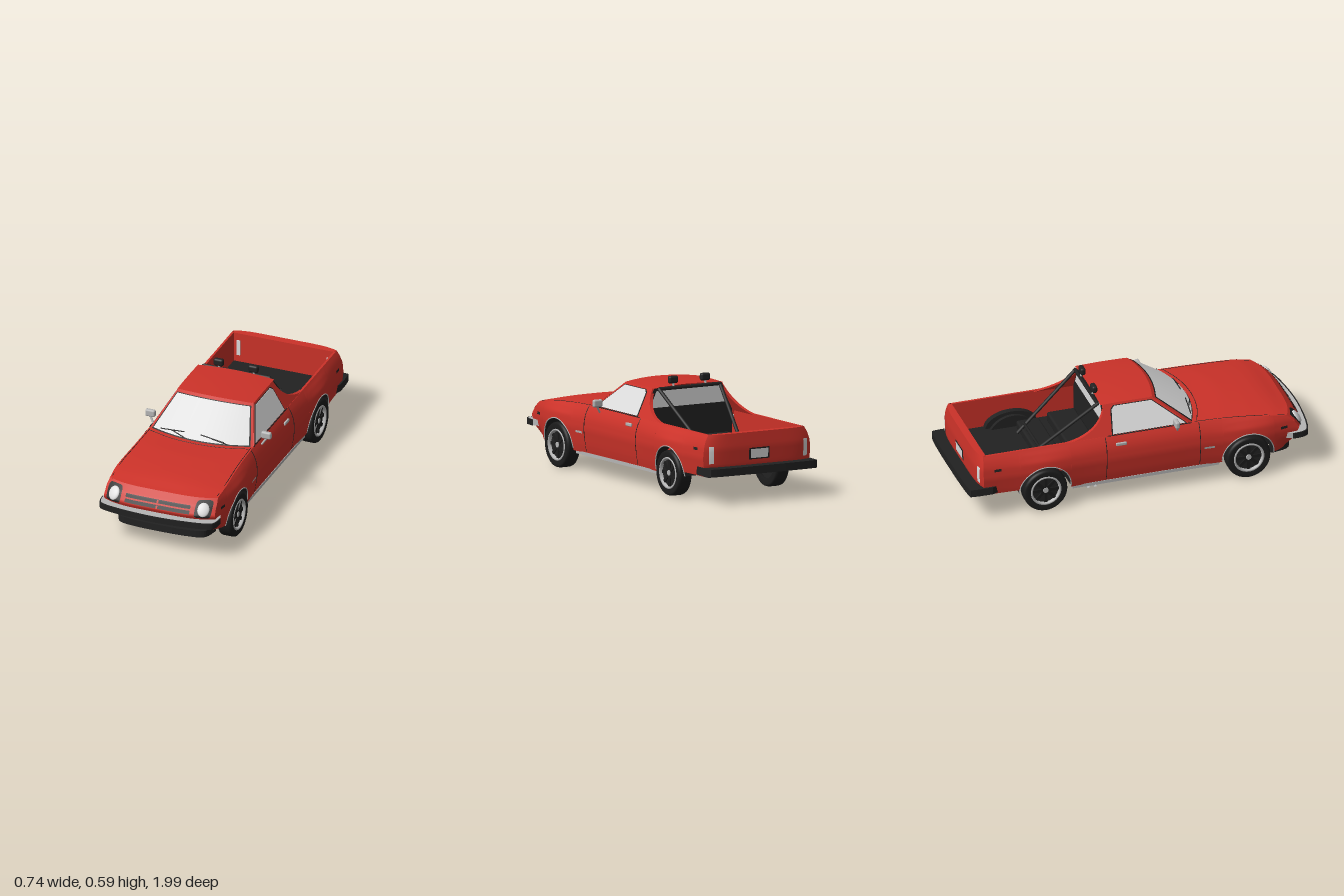
import * as THREE from 'three';
import { ParametricGeometry } from 'three/addons/geometries/ParametricGeometry.js';
import { RoundedBoxGeometry } from 'three/addons/geometries/RoundedBoxGeometry.js';

const mat = (name, color) => {
  const m = new THREE.MeshStandardMaterial({ color, side: THREE.DoubleSide });
  m.name = name;
  return m;
};
const red = mat('red paint', 0xcc3229), black = mat('black trim', 0x222222), rubber = mat('tyre rubber', 0x1c1c1c);
const glass = mat('pale glass', 0xdedede), chrome = mat('chrome', 0xb6b6b6), lampWhite = mat('lamp white', 0xdedede);

const { lerp, clamp, smoothstep } = THREE.MathUtils;
const V = (x, y, z) => new THREE.Vector3(x, y, z);
// piecewise linear lookup in a table of [input, output]
const lin = (t, v) => {
  if (v <= t[0][0]) return t[0][1];
  for (let i = 1; i < t.length; i++) {
    if (v <= t[i][0]) return lerp(t[i - 1][1], t[i][1], (v - t[i - 1][0]) / (t[i][0] - t[i - 1][0]));
  }
  return t[t.length - 1][1];
};

// Body surface rules
const AXLES = [-0.557, 0.605], WHEEL_Y = 0.126, ARCH = 0.147, BELT = 0.378, NOSE_TOP = 0.335, BED_X = 0.293;
const girth = [[0.1, 0.32], [0.16, 0.332], [0.25, 0.342], [0.31, 0.336], [0.35, 0.322], [BELT, 0.305]];
const halfWidth = (y, z) => {
  const flare = AXLES.reduce((s, c) => s + Math.exp(-(((z - c) / 0.17) ** 2)), 0);
  return lin(girth, y) + 0.016 * flare * (1 - smoothstep(y, 0.29, BELT)) - 0.016 * smoothstep(z, 0.7, 0.9)
    - 0.035 * smoothstep(z, 0.76, 0.86) * clamp((0.2 - y) / 0.07, 0, 1);
};
const shoulder = z => lin([[0.29, BELT], [0.45, 0.373], [0.6, 0.364], [0.75, 0.35], [0.83, NOSE_TOP]], z);
const noseZ = y => lin([[0.13, 0.86], [0.17, 0.9], [0.21, 0.925], [0.255, 0.945], [0.3, 0.915], [NOSE_TOP, 0.875]], y);
const tailZ = y => lin([[0.15, -0.91], [0.2, -0.934], [0.3, -0.938], [BELT, -0.93]], y);
const nose = (x, y, off = 0) => {
  const u = x / halfWidth(y, noseZ(y) - 0.045);
  return V(x, y, noseZ(y) - 0.045 * u ** 4 + off);
};
const tail = (x, y, off = 0) => {
  const u = x / halfWidth(y, tailZ(y) + 0.025);
  return V(x, y, tailZ(y) + 0.025 * u ** 6 - off);
};
const cabWidth = y => lerp(0.305, 0.222, (y - 0.375) / 0.157);
const screen = (u, v, off = 0) => {
  const w = 1 - u * u;
  return V(u * lerp(0.305, 0.222, v), lerp(BELT - 0.004 + 0.004 * w, 0.532 + 0.012 * w, v) + off, lerp(0.36 - 0.07 * u * u, 0.12 - 0.03 * u * u, v) + off);
};
const hood = (u, v, off = 0) => {
  const ze = lerp(0.83, 0.29, v), y = shoulder(ze);
  const crown = 0.011 * smoothstep(v, 0, 0.3) - 0.007 * smoothstep(v, 0.6, 1);
  return V(u * halfWidth(y, ze), y + crown * (1 - u * u) + off, lerp(0.875 - 0.045 * u ** 4, 0.36 - 0.07 * u * u, v));
};

export function createModel() {
  const car = new THREE.Group();
  car.name = 'pickup';
  const add = (name, geo, m, parent = car) => {
    const mesh = new THREE.Mesh(geo, m);
    mesh.name = name;
    parent.add(mesh);
    return mesh;
  };
  const patch = (name, f, nu, nv, m) => {
    const g = new ParametricGeometry((u, v, t) => t.copy(f(u, v)), nu, nv);
    g.computeVertexNormals();
    return add(name, g, m);
  };
  const plate = (name, f, x0, x1, y0, y1, m, off = 0.003) =>
    patch(name, (u, v) => f(lerp(x0, x1, u), lerp(y0, y1, v), off), 12, 6, m);
  const box = (name, w, h, d, x, y, z, m, r = 0) => {
    const mesh = add(name, r ? new RoundedBoxGeometry(w, h, d, 3, r) : new THREE.BoxGeometry(w, h, d), m);
    mesh.position.set(x, y, z);
    return mesh;
  };
  const tube = (name, pts, r, m, n = 24) =>
    add(name, new THREE.TubeGeometry(pts.length > 2 ? new THREE.CatmullRomCurve3(pts) : new THREE.LineCurve3(...pts), n, r, 8), m);
  // curved bar in plan, given the right half of its outer edge
  const band = (name, half, inset, y0, y1, m) => {
    const pts = [...half.slice(1).reverse().map(([x, z]) => [-x, z]), ...half];
    const s = new THREE.SplineCurve(pts.map(p => new THREE.Vector2(...p))).getPoints(40);
    const dir = Math.sign(half[0][1]);
    const inner = s.map(p => new THREE.Vector2(p.x * (1 - inset * 1.2), p.y - dir * inset)).reverse();
    const g = new THREE.ExtrudeGeometry(new THREE.Shape([...s, ...inner]), { depth: y1 - y0, bevelEnabled: false });
    g.rotateX(Math.PI / 2).translate(0, y1, 0);
    add(name, g, m);
  };

  // Side panels: columns along z whose lower edge follows the wheel arches
  const archCols = c => Array.from({ length: 21 }, (_, i) => {
    const a = Math.PI * (1 - i / 20);
    return [c + ARCH * Math.cos(a), WHEEL_Y + ARCH * Math.sin(a)];
  });
  const run = (z0, z1, y, n) => Array.from({ length: n + 1 }, (_, i) => [lerp(z0, z1, i / n), y]);
  const cols = [...run(-0.92, -0.705, 0.15, 5), ...archCols(AXLES[0]), ...run(-0.41, 0.457, 0.115, 14), ...archCols(AXLES[1]), ...run(0.753, 0.9, 0.13, 5)];
  const sidePoint = (u, v) => {
    const [z, low] = cols[Math.round(u * (cols.length - 1))];
    const s = clamp((z - 0.753) / 0.147, 0, 1), r = clamp((-0.705 - z) / 0.215, 0, 1);
    const y = lerp(low, s > 0 ? shoulder(lerp(0.753, 0.83, s)) : shoulder(z), v);
    const zz = s > 0 ? lerp(0.753, noseZ(y) - 0.045, s) : r > 0 ? lerp(-0.705, tailZ(y) + 0.025, r) : z;
    return V(halfWidth(y, zz), y, zz);
  };
  // flat plate leaning with the cab side, drawn in (z, y)
  const cabPlate = (name, shape, side, depth, off, m) => {
    const g = new THREE.ExtrudeGeometry(shape, { depth, bevelEnabled: false, curveSegments: 16 });
    const p = g.attributes.position;
    for (let i = 0; i < p.count; i++) {
      p.setXYZ(i, side * (cabWidth(p.getY(i)) + off - p.getZ(i)), p.getY(i), p.getX(i));
    }
    g.computeVertexNormals();
    add(name, g, m);
  };
  const cabShape = new THREE.Shape().moveTo(0.29, 0.37).lineTo(0.09, 0.533).lineTo(-0.188, 0.533)
    .bezierCurveTo(-0.2, 0.45, -0.28, 0.39, -0.42, 0.374);
  const windowShape = k => new THREE.Shape([[0.265, 0.382], [0.085, 0.521], [-0.135, 0.522], [-0.153, 0.505], [-0.165, 0.382]]
    .map(([z, y]) => new THREE.Vector2(0.02 + (z - 0.02) * k, 0.452 + (y - 0.452) * k)));

  // Nose, hood, windscreen, roof and tailgate
  patch('nose', (u, v) => { const y = lerp(0.13, NOSE_TOP, v); return nose((2 * u - 1) * halfWidth(y, noseZ(y) - 0.045), y); }, 32, 24, red);
  patch('hood', (u, v) => hood(2 * u - 1, v), 28, 24, red);
  patch('windscreenFrame', (u, v) => screen(2 * u - 1, v), 20, 4, red);
  plate('windscreenSeal', screen, -0.955, 0.955, 0.01, 0.93, black, 0.002);
  plate('windscreen', screen, -0.93, 0.93, 0.035, 0.91, glass, 0.004);
  patch('roof', (u, v) => {
    const w = 2 * u - 1;
    return V(w * 0.224, 0.532 + 0.012 * (1 - w * w) + 0.003 * Math.sin(Math.PI * v), lerp(0.12 - 0.03 * w * w, -0.205, v));
  }, 20, 10, red);
  patch('tailgate', (u, v) => { const y = lerp(0.15, BELT, v); return tail((2 * u - 1) * halfWidth(y, tailZ(y) + 0.025), y); }, 32, 14, red);
  patch('tailgateRim', (u, v) => tail((2 * u - 1) * 0.305, BELT).lerp(V((2 * u - 1) * BED_X, BELT, -0.89), v), 24, 1, red);
  box('tailgateInner', 2 * BED_X, 0.178, 0.006, 0, 0.288, -0.89, red);

  // Load bed and cab back
  box('bedFloor', 2 * BED_X, 0.01, 0.7, 0, 0.2, -0.545, black);
  patch('bulkhead', (u, v) => { const y = lerp(0.2, 0.532, v); return V((2 * u - 1) * (Math.min(cabWidth(y), 0.29) - 0.008), y, -0.195); }, 2, 8, black);
  plate('rearWindow', (x, y, off) => V(x * cabWidth(y), y, -0.195 - off), -0.88, 0.88, 0.425, 0.518, glass);
  box('bedBox', 0.44, 0.05, 0.13, 0, 0.23, -0.48, black, 0.012);
  box('bedStep', 0.5, 0.06, 0.16, 0, 0.23, -0.28, black, 0.012);

  // Front face
  for (const y of [0.26, 0.285]) {
    plate('grilleSlot', nose, -0.19, 0.19, y, y + 0.017, black);
    plate('grilleClip', nose, -0.005, 0.005, y + 0.001, y + 0.016, red, 0.005);
  }
  // opening whose lower corners sweep up
  patch('lowerGrille', (u, v) => {
    const w = 2 * u - 1;
    return nose(w * 0.29, lerp(0.167 + 0.02 * w ** 8, 0.198, v), 0.004);
  }, 32, 4, black);
  const bumperLine = [[0, 0.982], [0.17, 0.972], [0.3, 0.95], [0.335, 0.92], [0.343, 0.86]];
  band('frontBumper', bumperLine, 0.05, 0.199, 0.232, chrome);
  band('frontBumperPad', bumperLine.map(([x, z]) => [x * 1.012, z + 0.008]), 0.01, 0.198, 0.231, black);
  band('chinSpoiler', [[0, 0.89], [0.15, 0.885], [0.25, 0.86], [0.28, 0.77]], 0.05, 0.092, 0.131, black);
  band('rearBumper', [[0, -0.998], [0.17, -0.997], [0.32, -0.99], [0.342, -0.97], [0.346, -0.86]], 0.07, 0.157, 0.2, black);
  plate('plateRecess', tail, -0.065, 0.065, 0.228, 0.292, black);
  plate('numberPlate', tail, -0.055, 0.055, 0.235, 0.285, lampWhite, 0.006);

  // Underside
  box('floorPan', 0.63, 0.02, 0.85, 0, 0.147, 0.02, black);
  box('chassis', 0.5, 0.05, 1.7, 0, 0.167, -0.03, black);
  box('rearPan', 0.65, 0.02, 0.24, 0, 0.158, -0.82, black);
  box('frontPan', 0.5, 0.01, 0.09, 0, 0.137, 0.765, black);
  tube('exhaustPipe', [V(0, 0.112, 0.47), V(-0.03, 0.112, 0.1), V(-0.1, 0.112, -0.1), V(-0.2, 0.11, -0.18), V(-0.31, 0.1, -0.3)], 0.014, chrome, 40);
  tube('muffler', [V(-0.012, 0.115, 0.2), V(-0.045, 0.115, 0.03)], 0.022, chrome, 4);
  for (const z of [-0.27, -0.31]) tube('tailpipeTip', [V(-0.25, 0.104, z + 0.03), V(-0.32, 0.095, z)], 0.012, chrome, 2);
  for (const z of AXLES) tube('axle', [V(-0.28, WHEEL_Y, z), V(0.28, WHEEL_Y, z)], 0.018, black, 2);

  // Roll bar crossbars
  tube('rollBarTop', [V(-0.195, 0.53, -0.215), V(0.195, 0.53, -0.215)], 0.01, black, 2);
  tube('rollBarLower', [V(-0.13, 0.285, -0.53), V(0.13, 0.285, -0.53)], 0.008, black, 2);

  const lathe = pts => new THREE.LatheGeometry(pts.map(p => new THREE.Vector2(...p)), 40).rotateZ(-Math.PI / 2);
  const tyre = lathe([[0.08, -0.036], [0.113, -0.043], [0.122, -0.036], [0.125, -0.025], [0.125, 0.025], [0.122, 0.036], [0.113, 0.043], [0.086, 0.038]]);
  const rim = lathe([[0.089, 0.036], [0.085, 0.043], [0.077, 0.04], [0.073, 0.02]]);
  const disc = (r, w) => new THREE.CylinderGeometry(r, r, w, 32).rotateZ(Math.PI / 2);

  for (const s of [-1, 1]) {
    const onSide = (y, z, off = 0) => V(s * (halfWidth(y, z) + off), y, z);
    const skin = (z, y, off) => onSide(y, z, off);
    patch('sidePanel', (u, v) => { const p = sidePoint(u, v); p.x *= s; return p; }, cols.length - 1, 14, red);
    cabPlate('cabSide', cabShape, s, 0.02, 0, red);
    cabPlate('sideWindowSeal', windowShape(1), s, 0.003, 0.002, black);
    cabPlate('sideWindow', windowShape(0.965), s, 0.003, 0.004, glass);
    patch('bedRail', (u, v) => V(s * lerp(0.305, BED_X, v), BELT, lerp(-0.19, -0.89, u)), 10, 1, red);
    patch('bedWall', (u, v) => V(s * BED_X, lerp(0.2, BELT, v), lerp(-0.195, -0.89, u)), 8, 2, red);
    patch('bedWheelHump', (u, v) => V(s * lerp(0.26, BED_X, v), 0.2 + 0.09 * Math.sin(Math.PI * u), AXLES[0] + 0.15 * Math.cos(Math.PI * u)), 16, 1, black);
    patch('bedWheelHumpFace', (u, v) => V(s * 0.26, 0.2 + 0.09 * v * Math.sin(Math.PI * u), AXLES[0] + 0.15 * Math.cos(Math.PI * u)), 16, 1, black);
    box('tailgateLatch', 0.02, 0.09, 0.006, s * 0.265, 0.29, -0.886, lampWhite);
    box('sill', 0.035, 0.018, 0.84, s * 0.309, 0.109, 0.02, chrome);

    // Wheels, liners and arch trim
    for (const z of AXLES) {
      const wheel = new THREE.Group();
      wheel.name = z > 0 ? 'frontWheel' : 'rearWheel';
      wheel.position.set(s * 0.311, WHEEL_Y, z);
      if (s < 0) wheel.rotation.y = Math.PI;
      add('tyre', tyre, rubber, wheel);
      add('rim', rim, chrome, wheel);
      add('wheelDisc', disc(0.082, 0.05), black, wheel);
      add('hub', disc(0.015, 0.07), chrome, wheel);
      for (let i = 0; i < 8; i++) {
        const spoke = new THREE.BoxGeometry(0.012, 0.058, 0.018).translate(0.026, 0.045, 0).rotateX(i * Math.PI / 4);
        add('spoke', spoke, rubber, wheel);
      }
      car.add(wheel);
      const arc = (a, r) => [WHEEL_Y + r * Math.sin(a), z + r * Math.cos(a)];
      patch('wheelLiner', (u, v) => { const [y, zz] = arc(Math.PI * u, ARCH); return V(s * lerp(0.24, halfWidth(y, zz), v), y, zz); }, 24, 1, black);
      patch('wheelLinerWall', (u, v) => V(s * 0.24, ...arc(Math.PI * u, ARCH * lerp(0.2, 1, v))), 24, 1, black);
      tube('archTrim', Array.from({ length: 17 }, (_, i) => onSide(...arc(Math.PI * i / 16, ARCH + 0.002), 0)), 0.003, chrome, 48);
    }

    // Headlamp in a rounded square bezel, markers and tail lamp
    const squircle = a => Math.sign(a) * Math.abs(a) ** 0.4;
    patch('headlampBezel', (u, v) => {
      const a = 2 * Math.PI * u;
      return nose(s * 0.262 + 0.045 * v * squircle(Math.cos(a)), 0.286 + 0.042 * v * squircle(Math.sin(a)), 0.004);
    }, 48, 6, black);
    const lamp = add('headlamp', new THREE.SphereGeometry(0.035, 24, 16), lampWhite);
    lamp.position.copy(nose(s * 0.262, 0.286, 0.001));
    lamp.rotation.set(-0.65, s * 0.25, 0);
    lamp.scale.set(0.95, 1.15, 0.35);
    plate('tailLamp', tail, s * 0.285, s * 0.312, 0.22, 0.315, lampWhite, 0.004);
    plate('frontMarker', skin, 0.79, 0.83, 0.265, 0.28, black);
    plate('rearMarker', skin, -0.85, -0.81, 0.29, 0.305, black);
    plate('fenderTrim', skin, 0.35, 0.41, 0.222, 0.234, chrome);

    // Door seams, belt line, hood seam and handle
    for (const z of [0.33, -0.205]) tube('doorSeam', [0.125, 0.19, 0.25, 0.31, 0.35, 0.375].map(y => onSide(y, z)), 0.002, black);
    tube('beltSeam', [V(s * 0.306, 0.379, 0.29), V(s * 0.306, 0.379, -0.19)], 0.0025, black, 2);
    tube('hoodSeam', [0.03, 0.3, 0.6, 0.97].map(v => hood(s * 0.97, v)), 0.0018, black);
    tube('cowlSeam', [0, 0.3, 0.6, 0.95].map(u => hood(s * u, 0.95)), 0.0018, black);
    const handle = box('doorHandle', 0.012, 0.018, 0.06, 0, 0, 0, chrome, 0.004);
    handle.position.copy(onSide(0.333, -0.12, 0.003));

    // Mirror
    box('mirror', 0.058, 0.042, 0.026, s * 0.341, 0.409, 0.192, chrome, 0.01);
    tube('mirrorArm', [V(s * 0.345, 0.395, 0.192), V(s * 0.318, 0.355, 0.205)], 0.006, chrome, 2);

    // Roll bar strut and roof lamp
    tube('rollBarStrut', [V(s * 0.195, 0.53, -0.21), V(s * 0.12, 0.235, -0.57)], 0.01, black, 2);
    box('roofLamp', 0.058, 0.042, 0.03, s * 0.102, 0.574, -0.205, black, 0.012);
    tube('roofLampPost', [V(s * 0.102, 0.525, -0.213), V(s * 0.102, 0.56, -0.207)], 0.006, chrome, 2);
  }

  // Wipers
  for (const [a, b, va, vb] of [[-0.78, -0.3, 0.07, 0.15], [0.03, 0.5, 0.16, 0.06]]) {
    tube('wiperBlade', [screen(a, va, 0.007), screen(b, vb, 0.007)], 0.003, black, 2);
    tube('wiperArm', [screen((a + b) / 2, 0.11, 0.008), screen(b + 0.06, 0.03, 0.005)], 0.003, black, 2);
  }
  return car;
}
